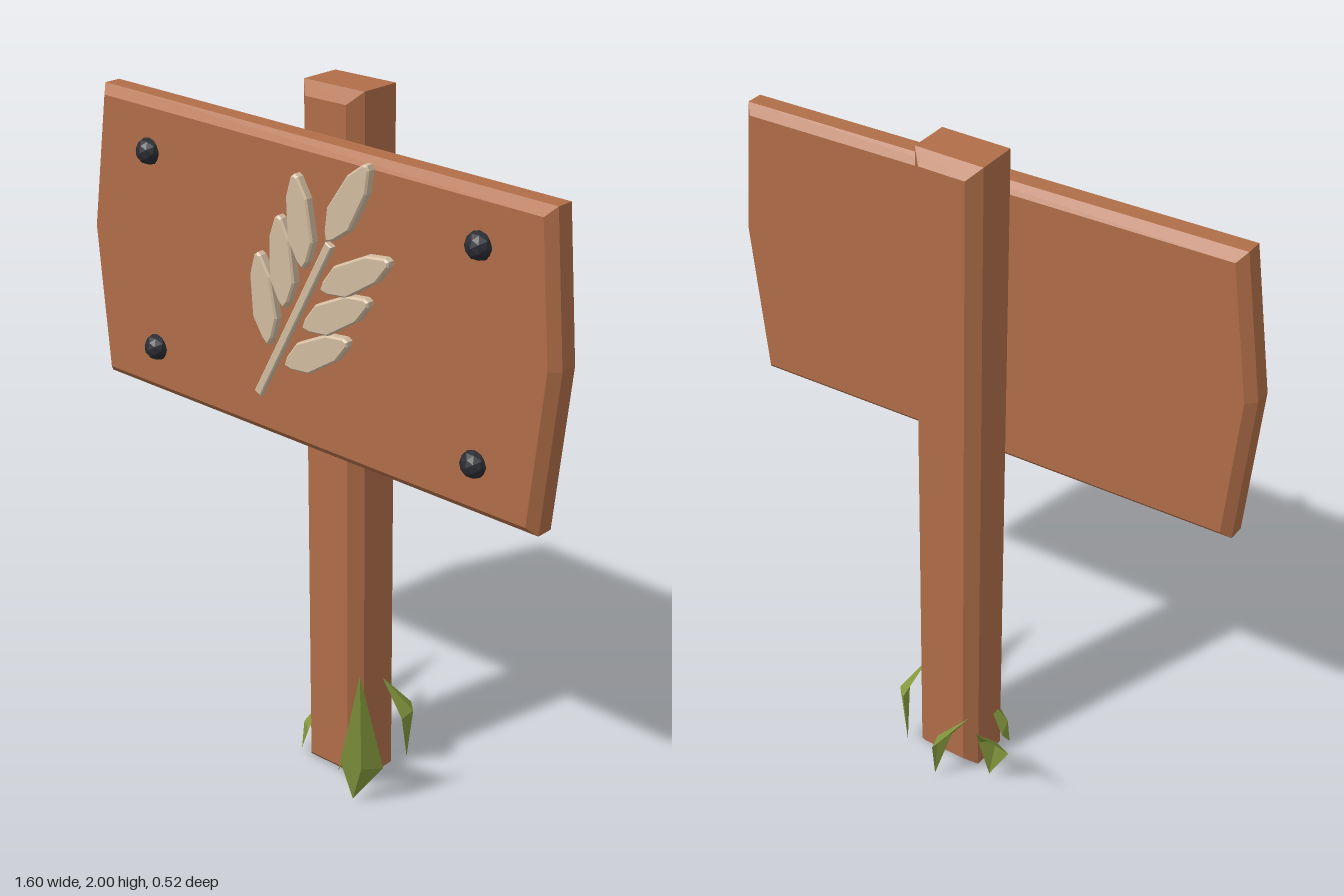
import * as THREE from 'three';

const material = (name, color, side = THREE.FrontSide) => {
  const m = new THREE.MeshStandardMaterial({ color, flatShading: true, side });
  m.name = name;
  return m;
};

// Outline in x/y, extruded from z0 to z1; bevelled edges stay inside the outline
function slab(points, z0, z1, bevel) {
  const shape = new THREE.Shape(points.map(([x, y]) => new THREE.Vector2(x, y)));
  const geometry = new THREE.ExtrudeGeometry(shape, {
    depth: z1 - z0 - 2 * bevel,
    bevelEnabled: bevel > 0,
    bevelThickness: bevel,
    bevelSize: bevel,
    bevelOffset: -bevel,
    bevelSegments: 1,
  });
  return geometry.translate(0, 0, z0 + bevel);
}

// Outline along a line; profile is a list of [fraction along, half width]
function along([x0, y0], [x1, y1], profile) {
  const dx = x1 - x0, dy = y1 - y0, len = Math.hypot(dx, dy);
  const at = (t, w) => [x0 + dx * t + (dy / len) * w, y0 + dy * t - (dx / len) * w];
  const right = profile.map(([t, w]) => at(t, w));
  const left = profile.filter(([, w]) => w > 0).reverse().map(([t, w]) => at(t, -w));
  return [...right, ...left];
}

// Folded grass blade: base, two side corners and tip, with a raised ridge between
function bladeGeometry(base, a, b, tip) {
  const [p, l, r, t] = [base, a, b, tip].map((v) => new THREE.Vector3(...v));
  const normal = r.clone().sub(l).cross(t.clone().sub(p)).normalize();
  const ridge = l.clone().add(r).multiplyScalar(0.5).addScaledVector(normal, 0.02);
  const triangles = [p, ridge, l, p, r, ridge, l, ridge, t, ridge, r, t];
  const geometry = new THREE.BufferGeometry().setFromPoints(triangles);
  geometry.computeVertexNormals();
  return geometry;
}

export function createModel() {
  const group = new THREE.Group();
  group.name = 'signpost';
  const wood = material('wood', 0xb06e48);
  const straw = material('straw', 0xd2bca0);
  const iron = material('iron', 0x2a2c32);
  const grass = material('grass', 0x869a3e, THREE.DoubleSide);
  const add = (name, geometry, mat, parent = group) => {
    const mesh = new THREE.Mesh(geometry, mat);
    mesh.name = name;
    parent.add(mesh);
    return mesh;
  };
  const subgroup = (name) => {
    const g = new THREE.Group();
    g.name = name;
    group.add(g);
    return g;
  };

  // Upright post
  add('post', slab([[-0.095, 0], [0.108, 0], [0.108, 2], [-0.095, 2]], -0.05, 0.135, 0.033), wood);

  // Uneven six-sided board
  add('board', slab([
    [-0.767, 1.056], [0.75, 1.024], [0.8, 1.47],
    [0.77, 1.867], [-0.737, 1.9], [-0.8, 1.496],
  ], 0.12, 0.22, 0.025), wood);

  // Bolts in the board corners
  const bolts = subgroup('bolts');
  for (const [x, y] of [[-0.55, 1.75], [0.566, 1.735], [-0.55, 1.19], [0.566, 1.172]]) {
    add('bolt', new THREE.IcosahedronGeometry(0.038, 1), iron, bolts).position.set(x, y, 0.218);
  }

  // Raised ear of wheat: stem and seven grains
  const wheat = subgroup('wheat');
  add('stem', slab(along([-0.153, 1.165], [0.104, 1.637], [[0, 0.012], [1, 0.012]]), 0.215, 0.237, 0.003), straw, wheat);
  const grains = [
    [[0.1, 1.645], [0.236, 1.868]],
    [[0.02, 1.554], [-0.005, 1.8]],
    [[-0.048, 1.432], [-0.063, 1.68]],
    [[-0.106, 1.316], [-0.138, 1.565]],
    [[0.079, 1.512], [0.305, 1.638]],
    [[0.016, 1.395], [0.24, 1.518]],
    [[-0.048, 1.275], [0.171, 1.395]],
  ];
  const grainProfile = [[0, 0], [0.08, 0.018], [0.3, 0.043], [0.75, 0.036], [0.97, 0.012], [1, 0]];
  for (const [base, tip] of grains) {
    add('grain', slab(along(base, tip, grainProfile), 0.215, 0.244, 0.005), straw, wheat);
  }

  // Grass blades around the foot: base, side, side, tip
  const tuft = subgroup('grass');
  const blades = [
    [[-0.15, 0.01, -0.04], [-0.228, 0.15, -0.06], [-0.14, 0.17, -0.085], [-0.25, 0.4, -0.262]],
    [[-0.015, 0.01, -0.127], [-0.04, 0.14, -0.075], [-0.03, 0.15, -0.163], [-0.145, 0.31, -0.14]],
    [[0.16, 0.01, 0.21], [0.14, 0.14, 0.24], [0.233, 0.12, 0.165], [0.23, 0.456, 0.26]],
    [[0.045, 0.02, 0.145], [0.125, 0.13, 0.2], [0.105, 0.19, 0.13], [0.235, 0.365, 0.24]],
    [[0.135, 0.01, -0.055], [0.17, 0.18, 0.01], [0.14, 0.19, -0.068], [0.105, 0.297, 0.02]],
    [[-0.125, 0.01, 0.11], [-0.132, 0.08, 0.055], [-0.08, 0.1, 0.13], [-0.06, 0.2, 0.07]],
  ];
  for (const corners of blades) add('grassBlade', bladeGeometry(...corners), grass, tuft);

  return group;
}
